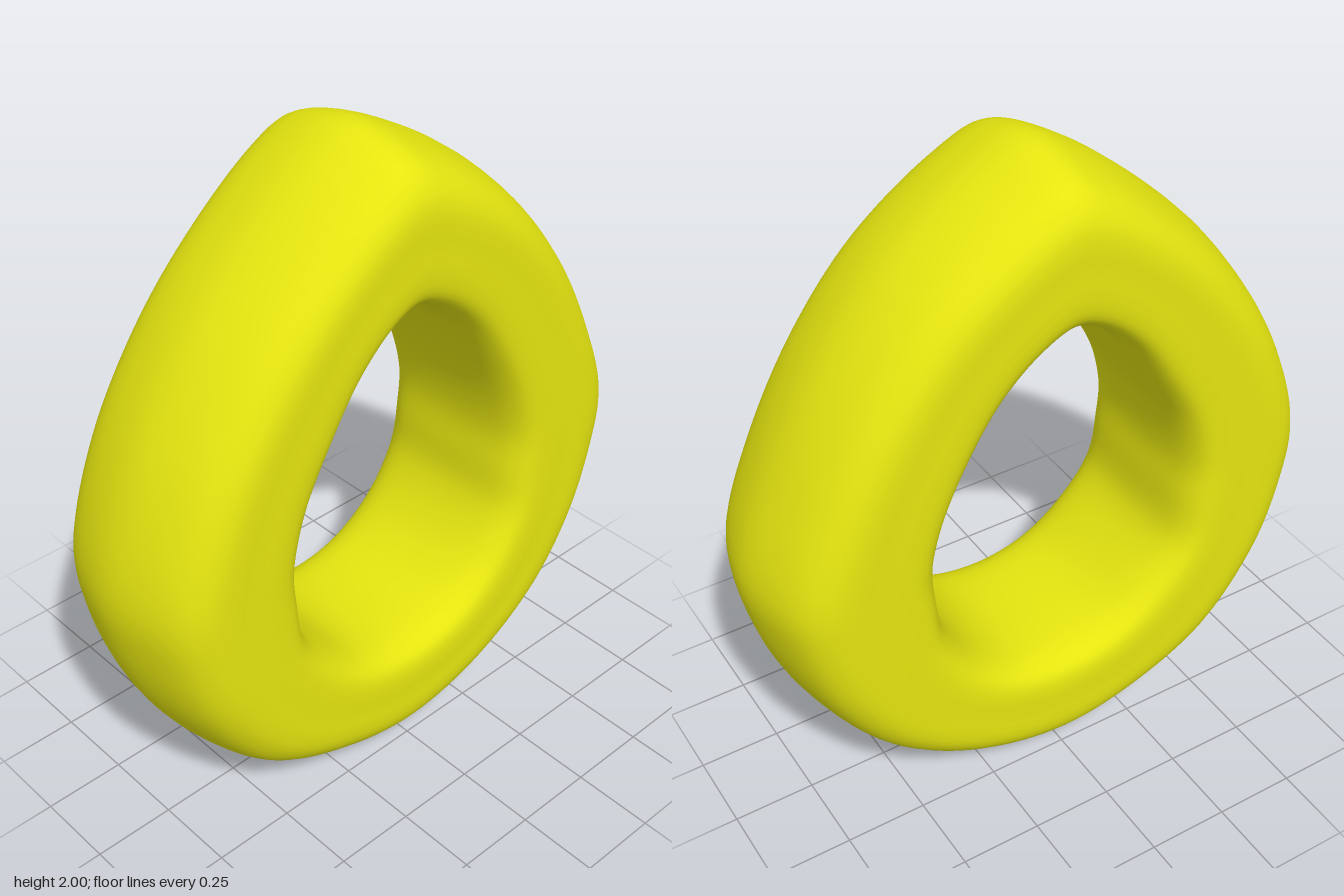
import * as THREE from 'three';

// Closed smooth curve through [x, y] pairs
const loop = (pairs) => new THREE.CatmullRomCurve3(
  pairs.map(([x, y]) => new THREE.Vector3(x, y, 0)), true, 'centripetal');

// Outer and inner outlines, clockwise from the tip, with matching points
const outer = loop([
  [-0.02, 2.0], [0.13, 1.945], [0.40, 1.76], [0.61, 1.52], [0.78, 1.22], [0.885, 0.93], [0.87, 0.76],
  [0.78, 0.5], [0.61, 0.26], [0.33, 0.08], [0, 0.003], [-0.3, 0.06], [-0.58, 0.2], [-0.78, 0.47],
  [-0.87, 0.73], [-0.885, 0.93], [-0.78, 1.25], [-0.6, 1.54], [-0.4, 1.75], [-0.15, 1.945],
]);
const inner = loop([
  [-0.01, 1.52], [0.09, 1.48], [0.2, 1.38], [0.3, 1.22], [0.37, 1.06], [0.4, 0.92], [0.395, 0.8],
  [0.375, 0.66], [0.28, 0.51], [0.15, 0.42], [-0.01, 0.395], [-0.16, 0.425], [-0.28, 0.51], [-0.385, 0.64],
  [-0.41, 0.8], [-0.415, 0.92], [-0.38, 1.08], [-0.3, 1.24], [-0.2, 1.4], [-0.1, 1.49],
]);

// Half cross-section: [fraction from inner to outer outline, z]
const half = [[0, 0], [0.01, 0.14], [0.04, 0.22], [0.11, 0.272], [0.22, 0.291], [0.45, 0.292],
  [0.64, 0.291], [0.76, 0.275], [0.87, 0.23], [0.95, 0.14], [1, 0]];
const back = half.slice(1, -1).reverse().map(([s, z]) => [s, -z]);
const section = loop([...half, ...back]);

// Sweep the cross-section between the two outlines
function ringGeometry(around, across) {
  const positions = [], index = [];
  const a = new THREE.Vector3(), b = new THREE.Vector3(), p = new THREE.Vector3();
  for (let i = 0; i < around; i++) {
    inner.getPoint(i / around, a);
    outer.getPoint(i / around, b);
    for (let j = 0; j < across; j++) {
      section.getPoint(j / across, p);
      const s = THREE.MathUtils.clamp(p.x, 0, 1);
      positions.push(a.x + (b.x - a.x) * s, a.y + (b.y - a.y) * s, p.y);
      const i2 = (i + 1) % around, j2 = (j + 1) % across;
      const q = [i * across + j, i2 * across + j, i2 * across + j2, i * across + j2];
      index.push(q[0], q[1], q[3], q[1], q[2], q[3]);
    }
  }
  const geometry = new THREE.BufferGeometry();
  geometry.setAttribute('position', new THREE.Float32BufferAttribute(positions, 3));
  geometry.setIndex(index);
  geometry.computeVertexNormals();
  return geometry;
}

export function createModel() {
  const group = new THREE.Group();
  // Thick pointed ring
  const ring = new THREE.Mesh(ringGeometry(160, 60),
    new THREE.MeshStandardMaterial({ color: 0xe5e510 }));
  ring.name = 'pointedRing';
  group.add(ring);
  return group;
}
